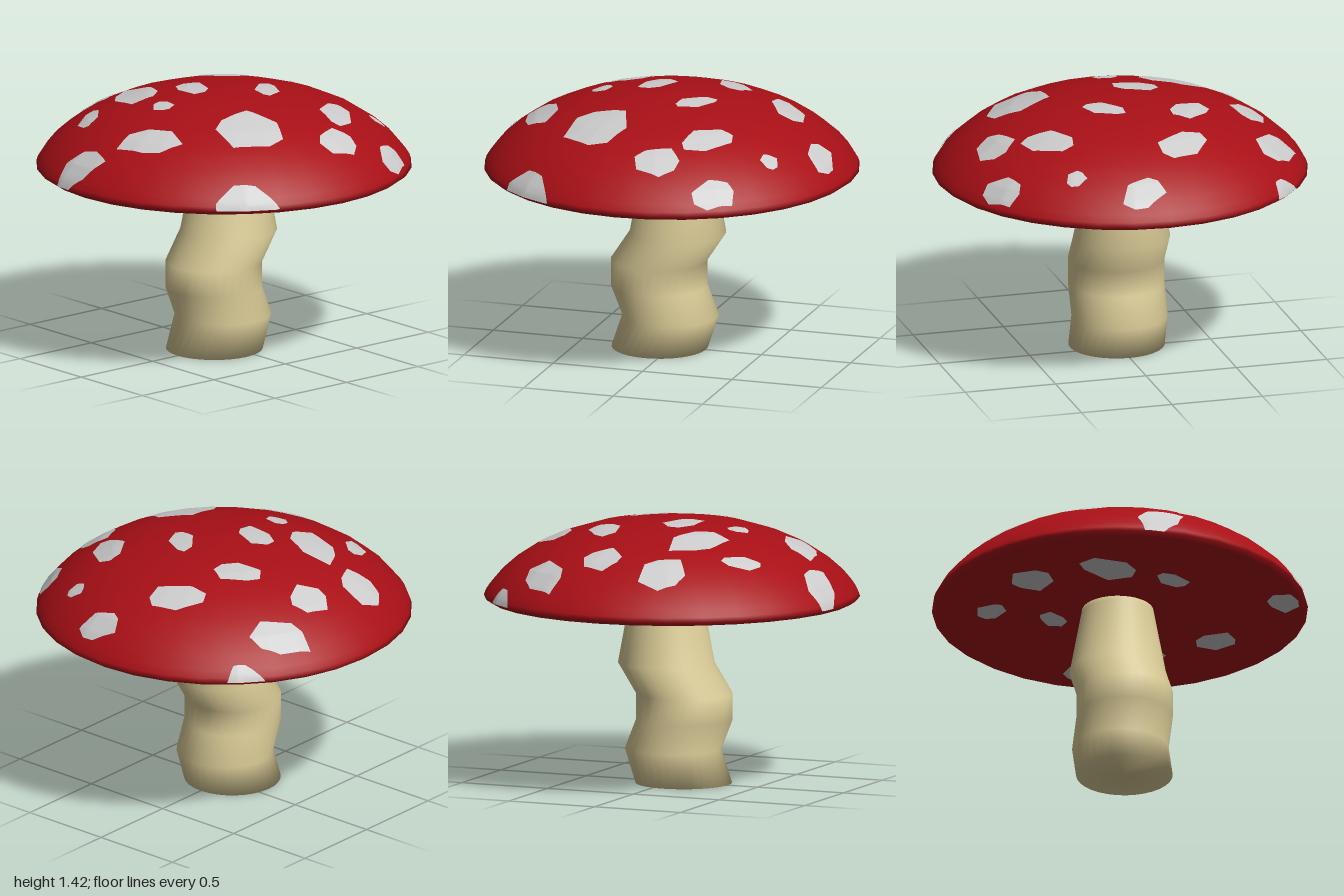
import * as THREE from 'three';
import { mergeVertices } from 'three/addons/utils/BufferGeometryUtils.js';

const SIDES = 32;
const RED = 0xa80f16, CREAM = 0xdccd98, PALE = 0xcccccc;

// Cap cross-section as [radius, height]
const under = [[0, 1.01], [0.5, 1.0], [0.88, 0.985], [0.97, 0.98], [1, 1]];
const dome = [[0, 1.42], [0.2, 1.41], [0.41, 1.38], [0.59, 1.325], [0.73, 1.262],
  [0.84, 1.19], [0.92, 1.12], [0.97, 1.06], [0.992, 1.025], [1, 1]];

function material(color, side = THREE.FrontSide) {
  return new THREE.MeshStandardMaterial({ color, side });
}

function heightOn(profile, r) {
  for (let i = 1; i < profile.length; i++) {
    const [r0, y0] = profile[i - 1], [r1, y1] = profile[i];
    if (r <= r1) return y0 + (y1 - y0) * (r - r0) / (r1 - r0);
  }
  return profile[profile.length - 1][1];
}

// Place a point on the faceted cap, kept inside its rim
function onCap(x, z, profile, lift) {
  const seg = 2 * Math.PI / SIDES;
  const a = Math.atan2(x, z) + 2 * Math.PI;
  let r = Math.hypot(x, z) * Math.cos(a % seg - seg / 2) / Math.cos(seg / 2);
  const k = r > 1 ? 1 / r : 1;
  r = Math.min(r, 1);
  const out = 1 + lift * r * r;
  return [x * k * out, heightOn(profile, r) + (profile === dome ? lift : -lift), z * k * out];
}

// Irregular seven-sided patch draped over the cap
function spot([x, z, length, width, degrees], index, profile) {
  const corners = [], n = 7, rings = 8, steps = 6, t = degrees * Math.PI / 180;
  for (let i = 0; i < n; i++) {
    const a = (i + 0.25 * Math.sin(index * 2.3 + i * 1.9)) / n * 2 * Math.PI;
    const s = 1.04 + 0.06 * Math.sin(index * 1.7 + i * 2.6);
    const u = Math.cos(a) * length * s, v = Math.sin(a) * width * s;
    corners.push([u * Math.cos(t) - v * Math.sin(t), u * Math.sin(t) + v * Math.cos(t)]);
  }
  const positions = [], indices = [], m = n * steps;
  for (let j = 0; j <= rings; j++) {
    for (let i = 0; i < m; i++) {
      const p = corners[Math.floor(i / steps)], q = corners[(Math.floor(i / steps) + 1) % n];
      const f = (i % steps) / steps, k = j / rings;
      positions.push(...onCap(x + k * (p[0] + (q[0] - p[0]) * f),
        z + k * (p[1] + (q[1] - p[1]) * f), profile, 0.004));
      if (j === rings) continue;
      const a = j * m + i, b = j * m + (i + 1) % m, c = a + m, d = b + m;
      if (profile === dome) indices.push(a, d, c, a, b, d);
      else indices.push(a, c, d, a, d, b);
    }
  }
  const geometry = new THREE.BufferGeometry();
  geometry.setAttribute('position', new THREE.Float32BufferAttribute(positions, 3));
  geometry.setIndex(indices);
  const merged = mergeVertices(geometry);
  merged.computeVertexNormals();
  return new THREE.Mesh(merged, material(PALE));
}

// Crooked stem: a cylinder whose rings are shifted sideways
function stem() {
  // [height, centre x, radius] from the ground up
  const rings = [[0, -0.068, 0.257], [0.18, -0.007, 0.257], [0.34, -0.072, 0.257],
    [0.48, -0.072, 0.257], [0.64, 0.033, 0.257], [0.98, 0.033, 0.195], [1.04, 0.033, 0.184]];
  const geometry = new THREE.CylinderGeometry(1, 1, rings.length - 1, SIDES, rings.length - 1);
  const p = geometry.attributes.position;
  for (let i = 0; i < p.count; i++) {
    const [y, cx, r] = rings[Math.round(p.getY(i) + (rings.length - 1) / 2)];
    p.setXYZ(i, p.getX(i) * r + cx, y, p.getZ(i) * r);
  }
  geometry.deleteAttribute('uv');
  geometry.deleteAttribute('normal');
  const smooth = mergeVertices(geometry);
  smooth.computeVertexNormals();
  return new THREE.Mesh(smooth, material(CREAM));
}

export function createModel() {
  const model = new THREE.Group();
  model.name = 'mushroom';

  const stemMesh = stem();
  stemMesh.name = 'stem';
  model.add(stemMesh);

  // Cap: underside, rolled rim and dome in one turned profile
  const outline = [...under, ...dome.slice(0, -1).reverse()].map(([r, y]) => new THREE.Vector2(r, y));
  const cap = new THREE.Mesh(new THREE.LatheGeometry(outline, SIDES), material(RED));
  cap.name = 'cap';
  model.add(cap);

  // Spots as [x, z, half length, half width, turn in degrees]
  const upper = [
    [-0.27, -0.72, 0.135, 0.1, -45], [0.1, -0.68, 0.105, 0.095, 0], [0.41, -0.74, 0.16, 0.08, 45],
    [0.69, -0.75, 0.11, 0.07, 45], [-0.59, -0.41, 0.105, 0.055, -40], [-0.31, -0.36, 0.19, 0.105, -60],
    [0.25, -0.31, 0.13, 0.08, 50], [0.59, -0.18, 0.15, 0.09, 65], [-0.91, -0.11, 0.145, 0.075, 75],
    [-0.4, -0.03, 0.065, 0.055, 90], [-0.12, -0.12, 0.125, 0.08, -65], [-0.67, 0.18, 0.185, 0.085, 65],
    [0.18, 0.14, 0.12, 0.065, -50], [0.87, 0.12, 0.12, 0.065, 85], [-0.25, 0.5, 0.175, 0.165, 0],
    [0.36, 0.5, 0.145, 0.085, -45], [0.69, 0.44, 0.055, 0.042, -60], [0.16, 0.74, 0.12, 0.09, -25],
    [0.49, 0.79, 0.115, 0.06, -33], [-0.57, 0.83, 0.18, 0.09, 28]];
  const lower = [
    [0.81, 0.08, 0.11, 0.07, 75], [0.49, 0.36, 0.08, 0.06, -40], [0.18, 0.61, 0.12, 0.09, -25],
    [0.24, -0.29, 0.1, 0.06, 45], [0.24, -0.64, 0.09, 0.08, 0], [-0.2, -0.57, 0.14, 0.11, 45],
    [-0.47, -0.24, 0.17, 0.12, 60], [-0.45, 0.13, 0.1, 0.07, 65], [-0.42, 0.77, 0.12, 0.08, 28]];
  const add = (list, profile, name) => {
    const group = new THREE.Group();
    group.name = name;
    list.forEach((s, i) => {
      const mesh = spot(s, i, profile);
      mesh.name = 'spot';
      group.add(mesh);
    });
    model.add(group);
  };
  add(upper, dome, 'upperSpots');
  add(lower, under, 'undersideSpots');
  return model;
}
